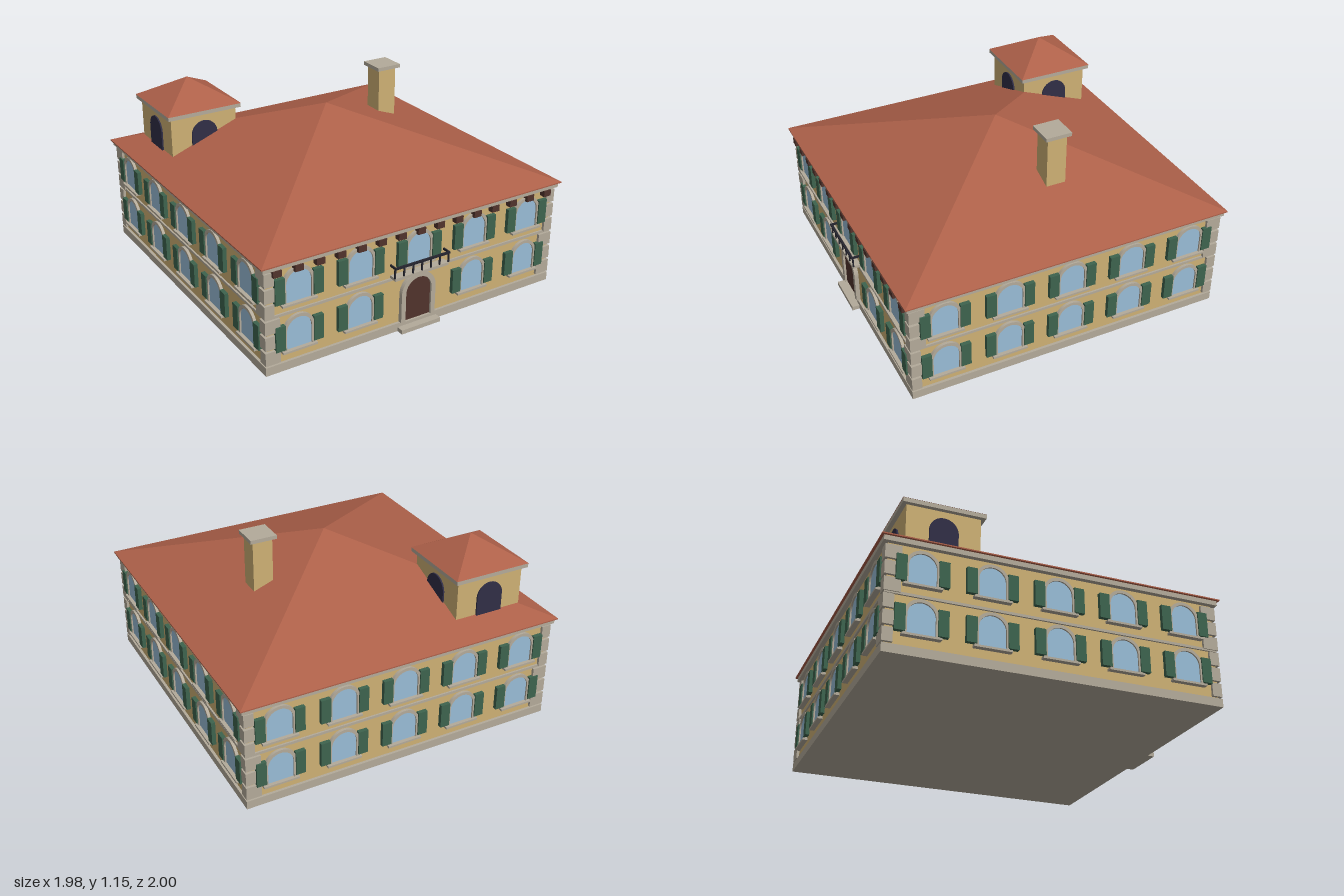
import * as THREE from 'three';

const mat = (name, color, extra = {}) => {
  const m = new THREE.MeshStandardMaterial({ color, ...extra });
  m.name = name;
  return m;
};

export function createModel() {
  const wall = mat('ochre plaster', 0xcdb074);
  const stone = mat('grey stone', 0xb3aa9a);
  const tile = mat('terracotta tile', 0xad6049, { flatShading: true });
  const glass = mat('window glass', 0x98bcd6);
  const green = mat('green paint', 0x3d634e);
  const wood = mat('dark wood', 0x50332c);
  const shade = mat('dark opening', 0x302e46);
  const iron = mat('black iron', 0x25252e);

  const model = new THREE.Group();
  model.name = 'villa';
  const house = new THREE.Group();
  house.name = 'house';
  house.position.z = -0.009;
  model.add(house);

  const add = (parent, name, geometry, material, x = 0, y = 0, z = 0) => {
    const mesh = new THREE.Mesh(geometry, material);
    mesh.name = name;
    mesh.position.set(x, y, z);
    parent.add(mesh);
    return mesh;
  };
  // Box given by its ranges along x, y and z
  const box = (parent, name, material, x0, x1, y0, y1, z0, z1) =>
    add(parent, name, new THREE.BoxGeometry(x1 - x0, y1 - y0, z1 - z0), material,
      (x0 + x1) / 2, (y0 + y1) / 2, (z0 + z1) / 2);

  // Round-headed outline standing on y = 0
  const trace = (path, r, spring) => {
    path.moveTo(-r, 0);
    path.lineTo(r, 0);
    path.lineTo(r, spring);
    path.absarc(0, spring, r, 0, Math.PI, false);
    path.lineTo(-r, 0);
    return path;
  };
  const extrude = (shape, depth) =>
    new THREE.ExtrudeGeometry(shape, { depth, bevelEnabled: false, curveSegments: 16 });
  const arch = (r, spring, depth) => extrude(trace(new THREE.Shape(), r, spring), depth);
  const archFrame = (outer, inner, spring, depth) => {
    const shape = trace(new THREE.Shape(), outer, spring);
    shape.holes.push(trace(new THREE.Path(), inner, spring));
    return extrude(shape, depth);
  };
  const pyramid = (half, height) => {
    const g = new THREE.ConeGeometry(half * Math.SQRT2, height, 4);
    g.rotateY(Math.PI / 4);
    g.translate(0, height / 2, 0);
    return g;
  };

  const W = 0.95; // wall half width

  // Body, plinth and cornices
  box(house, 'plinth', stone, -0.966, 0.966, 0, 0.05, -0.966, 0.966);
  box(house, 'walls', wall, -W, W, 0.05, 0.62, -W, W);
  box(house, 'stringCourse', stone, -0.96, 0.96, 0.33, 0.345, -0.96, 0.96);
  box(house, 'cornice', stone, -0.978, 0.978, 0.617, 0.645, -0.978, 0.978);
  box(house, 'eaves', tile, -0.991, 0.991, 0.645, 0.652, -0.991, 0.991);
  add(house, 'roof', pyramid(0.991, 0.37), tile, 0, 0.652, 0);

  // Corner blocks, long side alternating between the two faces
  for (const sx of [-1, 1]) for (const sz of [-1, 1]) for (let i = 0; i < 6; i++) {
    const wx = i % 2 ? 0.058 : 0.09, wz = i % 2 ? 0.09 : 0.058;
    add(house, 'cornerBlock', new THREE.BoxGeometry(wx, 0.078, wz), stone,
      sx * (0.966 - wx / 2), 0.099 + i * 0.093, sz * (0.966 - wz / 2));
  }

  // Windows
  const glassGeo = arch(0.076, 0.107, 0.008);
  const frameGeo = archFrame(0.094, 0.076, 0.107, 0.017);
  const addWindow = (side, x, y) => {
    const w = new THREE.Group();
    w.name = 'window';
    w.position.set(x, y, W);
    side.add(w);
    add(w, 'pane', glassGeo, glass);
    add(w, 'windowFrame', frameGeo, stone);
    box(w, 'sill', stone, -0.105, 0.105, -0.012, 0, 0, 0.03);
    for (const s of [-1, 1])
      add(w, 'shutter', new THREE.BoxGeometry(0.058, 0.148, 0.024), green, s * 0.115, 0.084, 0.012);
  };
  ['front', 'left', 'back', 'right'].forEach((name, k) => {
    const side = new THREE.Group();
    side.name = name + 'Facade';
    side.rotation.y = k * Math.PI / 2;
    house.add(side);
    for (let i = -2; i <= 2; i++) {
      addWindow(side, i * 0.381, 0.398);
      if (k > 0 || i !== 0) addWindow(side, i * 0.381, 0.118);
    }
  });

  // Entrance
  add(house, 'door', arch(0.086, 0.175, 0.012), wood, 0, 0.05, W);
  add(house, 'doorSurround', archFrame(0.115, 0.086, 0.175, 0.025), stone, 0, 0.05, W);
  box(house, 'doorStep', stone, -0.132, 0.132, 0, 0.025, 0.9, 1.009);

  // Balcony with railing
  box(house, 'balconySlab', stone, -0.18, 0.18, 0.345, 0.362, W, 1.0);
  box(house, 'handRail', iron, -0.184, 0.184, 0.418, 0.43, 0.994, 1.006);
  for (let i = -3; i <= 3; i++)
    box(house, 'baluster', iron, i * 0.06 - 0.004, i * 0.06 + 0.004, 0.36, 0.42, 0.991, 0.999);
  for (const s of [-1, 1]) {
    box(house, 'sideRail', iron, s * 0.18 - 0.004, s * 0.18 + 0.004, 0.418, 0.43, W, 1.0);
  }

  // Brackets under the front eaves
  for (let i = -7; i <= 7; i++)
    box(house, 'eavesBracket', wood, i * 0.128 - 0.025, i * 0.128 + 0.025, 0.58, 0.617, W, 0.985);

  // Roof tower with an opening on each side
  const tower = new THREE.Group();
  tower.name = 'tower';
  tower.position.set(-0.615, 0, -0.61);
  house.add(tower);
  box(tower, 'towerWalls', wall, -0.213, 0.213, 0.66, 0.95, -0.213, 0.213);
  box(tower, 'towerCornice', stone, -0.238, 0.238, 0.95, 0.975, -0.238, 0.238);
  add(tower, 'towerRoof', pyramid(0.24, 0.142), tile, 0, 0.975, 0);
  for (let k = 0; k < 4; k++) {
    const side = new THREE.Group();
    side.name = 'towerSide';
    side.rotation.y = k * Math.PI / 2;
    tower.add(side);
    add(side, 'towerOpening', arch(0.083, 0.117, 0.009), shade, 0, 0.705, 0.213);
  }

  // Chimney
  box(house, 'chimney', wall, 0.417, 0.537, 0.75, 1.13, -0.177, -0.057);
  box(house, 'chimneyCap', stone, 0.397, 0.557, 1.13, 1.152, -0.197, -0.037);

  return model;
}
